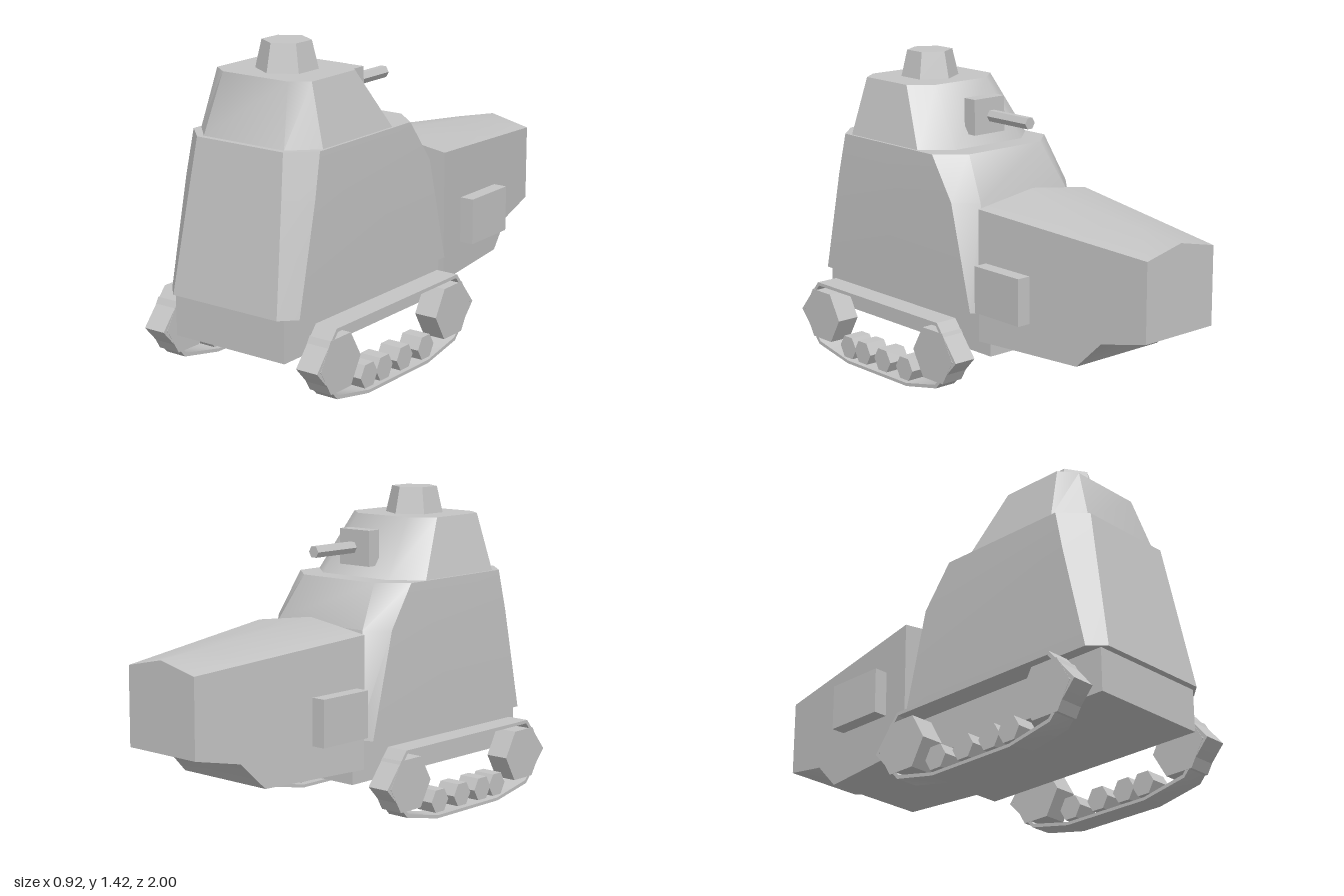
import * as THREE from 'three';
import { toCreasedNormals } from 'three/addons/utils/BufferGeometryUtils.js';

const steel = new THREE.MeshStandardMaterial({ color: 0xc4c4c4 });
steel.name = 'steel grey';

const CREASE = 0.65;

// Closed solid through convex rings, ordered anticlockwise about the stacking axis
function loft(rings) {
  const pos = [];
  const tri = (a, b, c) => pos.push(...a, ...b, ...c);
  const n = rings[0].length;
  for (let r = 0; r < rings.length - 1; r++) {
    const a = rings[r], b = rings[r + 1];
    for (let i = 0; i < n; i++) {
      const j = (i + 1) % n;
      tri(a[i], a[j], b[j]);
      tri(a[i], b[j], b[i]);
    }
  }
  const first = rings[0], last = rings[rings.length - 1];
  for (let i = 1; i < n - 1; i++) {
    tri(first[0], first[i + 1], first[i]);
    tri(last[0], last[i], last[i + 1]);
  }
  const g = new THREE.BufferGeometry();
  g.setAttribute('position', new THREE.Float32BufferAttribute(pos, 3));
  return g;
}

// Horizontal octagon: front edge, side corners, rear edge, mirrored in x
function octagon(y, frontX, frontZ, sideX, sideFrontZ, sideRearZ, rearX, rearZ) {
  const half = [[frontX, y, frontZ], [sideX, y, sideFrontZ], [sideX, y, sideRearZ], [rearX, y, rearZ]];
  return [...half, ...half.map(([x, h, z]) => [-x, h, z]).reverse()];
}

export function createModel() {
  const model = new THREE.Group();
  model.name = 'armouredVehicle';

  const add = (name, geometry, x = 0, y = 0, z = 0, parent = model) => {
    const mesh = new THREE.Mesh(toCreasedNormals(geometry, CREASE), steel);
    mesh.name = name;
    mesh.position.set(x, y, z);
    parent.add(mesh);
    return mesh;
  };

  // Lower hull
  add('lowerHull', new THREE.BoxGeometry(0.575, 0.19, 1.135), 0, 0.287, 0.403);

  // Tall main body with a curved back
  add('mainBody', loft([
    octagon(0.38, 0.275, 1.0, 0.34, 0.935, -0.09, 0.275, -0.12),
    octagon(0.85, 0.24, 0.918, 0.34, 0.828, 0.03, 0.25, -0.06),
    octagon(1.04, 0.225, 0.885, 0.332, 0.785, 0.165, 0.21, 0.06),
  ]));

  // Turret
  add('turret', loft([
    octagon(1.04, 0.21, 0.86, 0.32, 0.75, 0.28, 0.195, 0.17),
    octagon(1.3, 0.17, 0.78, 0.247, 0.725, 0.44, 0.148, 0.355),
  ]));

  // Six-sided cupola
  add('cupola', new THREE.CylinderGeometry(0.104, 0.132, 0.12, 6), 0, 1.36, 0.575);

  // Rear-facing gun and its mount
  add('gunMount', new THREE.BoxGeometry(0.174, 0.16, 0.068), 0, 1.17, 0.198);
  add('gunBarrel', new THREE.CylinderGeometry(0.028, 0.028, 0.25, 6).rotateY(Math.PI / 2).rotateX(Math.PI / 2), 0, 1.172, 0.025);

  // Tapered engine compartment with a low ridged roof
  const engineRings = [[-1, 0.425], [-0.775, 0.38], [-0.65, 0.257], [-0.12, 0.257]].map(([z, bottom]) => {
    const t = (z + 1) / 0.88;
    const w = 0.195 + 0.12 * t, eave = 0.77 + 0.075 * t, ridge = 0.813 + 0.077 * t;
    return [[w, bottom, z], [w, eave, z], [0, ridge, z], [-w, eave, z], [-w, bottom, z]];
  });
  add('engineCompartment', loft(engineRings));

  // Track belt outline in (z, y), with its inner edge
  const outer = [[0.98, 0.19], [0.85, 0.345], [-0.01, 0.345], [-0.135, 0.19], [0, 0.045], [0.205, 0.003], [0.635, 0.003], [0.85, 0.045]];
  const inner = [[0.96, 0.19], [0.843, 0.33], [-0.003, 0.33], [-0.115, 0.19], [0.007, 0.06], [0.207, 0.017], [0.633, 0.017], [0.843, 0.06]];
  const points = (list) => list.map(([a, b]) => new THREE.Vector2(a, b));
  const beltShape = new THREE.Shape(points(outer));
  beltShape.holes.push(new THREE.Path(points(inner)));
  const wheel = (r, width) => new THREE.CylinderGeometry(r, r, width, 6).rotateZ(Math.PI / 2);

  for (const side of [1, -1]) {
    const label = side > 0 ? 'left' : 'right';
    const x = side * 0.408;
    const track = new THREE.Group();
    track.name = label + 'Track';
    model.add(track);

    const belt = new THREE.ExtrudeGeometry(beltShape, { depth: 0.106, bevelEnabled: false });
    belt.rotateY(-Math.PI / 2).translate(0.053, 0, 0);
    add(label + 'Belt', belt, x, 0, 0, track);

    // Drive wheel, idler and road wheels
    add(label + 'FrontWheel', wheel(0.132, 0.108), x, 0.19, 0.825, track);
    add(label + 'RearWheel', wheel(0.132, 0.108), x, 0.19, 0.02, track);
    [0.63, 0.523, 0.378, 0.222].forEach((z, i) =>
      add(label + 'RoadWheel' + (i + 1), wheel(0.058, 0.102), x, 0.08, z, track));

    // Stowage box beside the engine
    add(label + 'SideBox', new THREE.BoxGeometry(0.064, 0.205, 0.273), side * 0.379, 0.527, -0.34);
  }

  return model;
}
